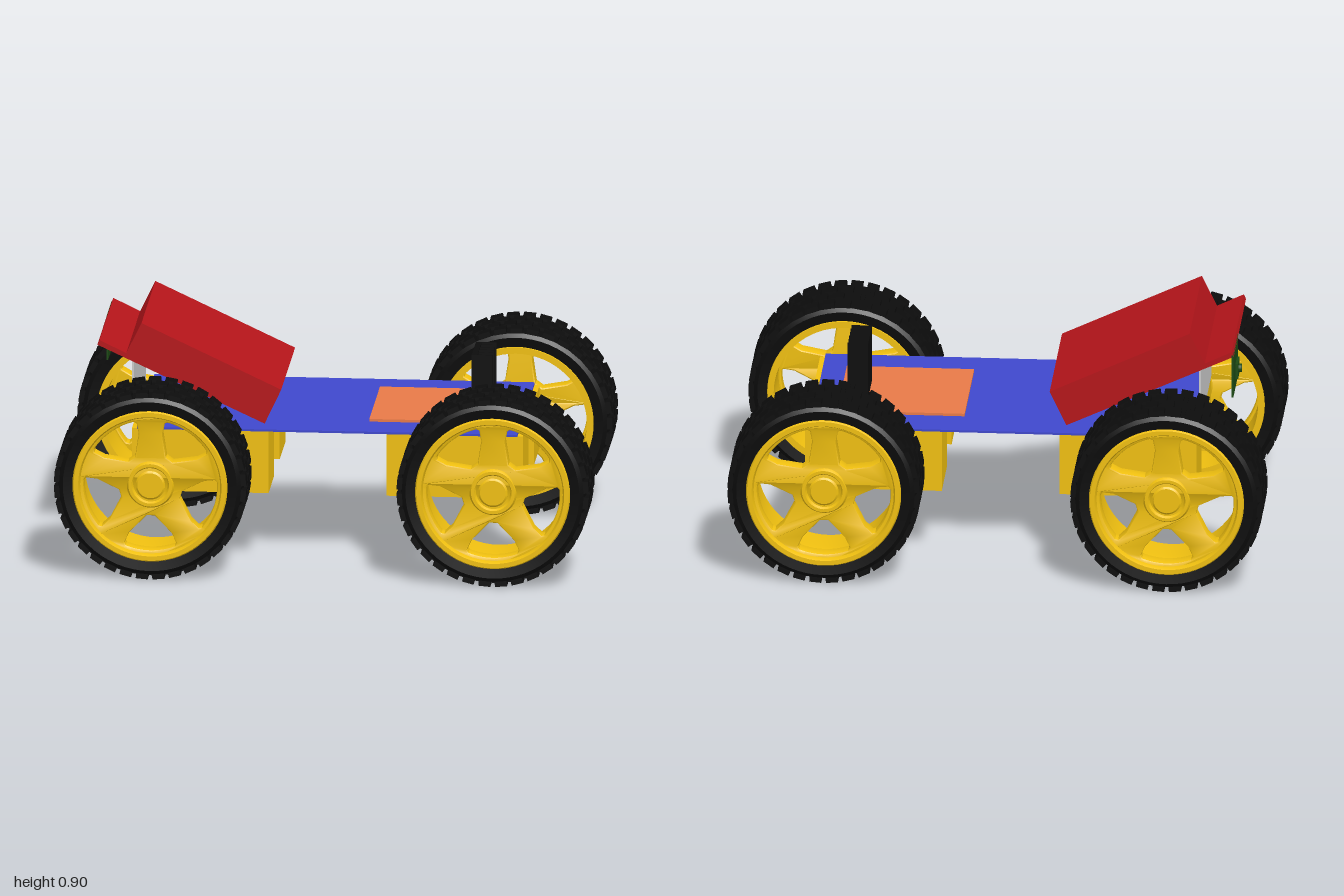
import * as THREE from 'three';
import { mergeGeometries, toCreasedNormals } from 'three/addons/utils/BufferGeometryUtils.js';

const mat = (color) => new THREE.MeshStandardMaterial({ color });
const gold = mat(0xf0c010), black = mat(0x0c0c0c), red = mat(0xb5151a), blue = mat(0x3f48cc);
const orange = mat(0xe87a48), green = mat(0x1c4a14), grey = mat(0xcccccc);

function add(parent, name, geometry, material, x = 0, y = 0, z = 0) {
  const mesh = new THREE.Mesh(geometry, material);
  mesh.name = name;
  mesh.position.set(x, y, z);
  parent.add(mesh);
  return mesh;
}

// Box given by its minimum and maximum on each axis
function block(parent, name, material, [x0, x1], [y0, y1], [z0, z1]) {
  return add(parent, name, new THREE.BoxGeometry(x1 - x0, y1 - y0, z1 - z0), material,
    (x0 + x1) / 2, (y0 + y1) / 2, (z0 + z1) / 2);
}

// Solid of revolution around z, from [radius, z] points
function turned(points, segments = 64) {
  const g = new THREE.LatheGeometry(points.map(([r, z]) => new THREE.Vector2(r, z)), segments);
  return toCreasedNormals(g.rotateX(Math.PI / 2), 0.6);
}

// Staggered tread blocks around the tyre
function treadGeometry() {
  const lugs = [], count = 36;
  const rows = [[-0.097, 0.05, 0], [-0.034, 0.058, 0.5], [0.034, 0.058, 0], [0.097, 0.05, 0.5]];
  for (let i = 0; i < count; i++) {
    for (const [z, width, shift] of rows) {
      const lug = new THREE.BoxGeometry(0.02, 0.045, width).translate(0.349, 0, z);
      lugs.push(lug.rotateZ(((i + shift) / count) * Math.PI * 2));
    }
  }
  return mergeGeometries(lugs);
}

// Five-spoke disc: a round plate with five flared windows, dished toward the hub
function spokeGeometry() {
  const disc = new THREE.Shape().absarc(0, 0, 0.275, 0, Math.PI * 2);
  const deg = Math.PI / 180;
  for (let i = 0; i < 5; i++) {
    const mid = (-90 + 72 * i) * deg;
    const hole = new THREE.Path();
    const at = (r, a) => [r * Math.cos(mid + a * deg), r * Math.sin(mid + a * deg)];
    hole.moveTo(...at(0.115, -9));
    hole.lineTo(...at(0.2, -25));
    hole.lineTo(...at(0.245, -25));
    hole.absarc(0, 0, 0.255, mid - 22 * deg, mid + 22 * deg, false);
    hole.lineTo(...at(0.245, 25));
    hole.lineTo(...at(0.2, 25));
    hole.lineTo(...at(0.115, 9));
    hole.closePath();
    disc.holes.push(hole);
  }
  const g = new THREE.ExtrudeGeometry(disc, {
    depth: 0.045, bevelEnabled: true, bevelSize: 0.006, bevelThickness: 0.008, bevelSegments: 2, curveSegments: 32,
  });
  const p = g.attributes.position;
  for (let i = 0; i < p.count; i++) {
    const r = Math.hypot(p.getX(i), p.getY(i));
    p.setZ(i, p.getZ(i) + 0.04 + 0.07 * r);
  }
  return toCreasedNormals(g, 0.5);
}

const tyreGeo = turned([[0.288, -0.125], [0.325, -0.131], [0.34, -0.12], [0.347, -0.08], [0.347, 0.08],
  [0.34, 0.12], [0.325, 0.131], [0.288, 0.125], [0.288, -0.125]]);
const treadGeo = treadGeometry();
const rimGeo = turned([[0.264, -0.131], [0.288, -0.131], [0.29, -0.12], [0.29, 0.125], [0.285, 0.133],
  [0.268, 0.133], [0.262, 0.12], [0.258, 0.0], [0.264, -0.131]]);
const spokeGeo = spokeGeometry();
const hubGeo = turned([[0, -0.12], [0.05, -0.12], [0.06, 0], [0.09, 0.06], [0.09, 0.1], [0.082, 0.112],
  [0.07, 0.112], [0.062, 0.1], [0.055, 0.1], [0.055, 0.11], [0.048, 0.116], [0, 0.116]], 40);

function wheel() {
  const g = new THREE.Group();
  add(g, 'tyre', tyreGeo, black);
  add(g, 'tyreTread', treadGeo, black);
  add(g, 'rim', rimGeo, gold);
  add(g, 'spokes', spokeGeo, gold);
  add(g, 'hub', hubGeo, gold);
  return g;
}

export function createModel() {
  const model = new THREE.Group();
  model.name = 'robotCar';
  const mid = 0.008; // the deck and its load sit slightly forward of the wheels

  // Four wheels, each with a motor box and an axle
  for (const sx of [-1, 1]) {
    for (const sz of [-1, 1]) {
      const w = wheel();
      w.name = (sz > 0 ? 'front' : 'back') + (sx > 0 ? 'Left' : 'Right') + 'Wheel';
      w.position.set(sx * 0.64, 0.363, sz * 0.522);
      if (sz < 0) w.rotation.y = Math.PI;
      model.add(w);
      add(model, 'motor', new THREE.BoxGeometry(0.51, 0.24, 0.25), gold, sx * 0.475, 0.395, mid + sz * 0.245);
      add(model, 'axle', new THREE.CylinderGeometry(0.02, 0.02, 0.34, 24).rotateX(Math.PI / 2), gold,
        sx * 0.64, 0.363, mid + sz * 0.265);
    }
  }

  // Deck
  block(model, 'deck', blue, [-0.71, 0.71], [0.515, 0.523], [mid - 0.382, mid + 0.382]);

  // Driver board with finned heat sink
  block(model, 'driverBoard', orange, [0.145, 0.62], [0.523, 0.533], [mid - 0.235, mid + 0.235]);
  const sink = new THREE.Group();
  sink.name = 'heatSink';
  block(sink, 'heatSinkBase', black, [0.515, 0.537], [0.533, 0.75], [-0.09, 0.1]);
  for (let i = 0; i < 6; i++) {
    const z = -0.09 + i * 0.0368;
    block(sink, 'heatSinkFin', black, [0.53, 0.592], [0.533, 0.75], [z, z + 0.006]);
  }
  model.add(sink);

  // Tilted cover with a thin lip at its raised end
  const profile = new THREE.Shape([[-0.865, 0.815], [-0.24, 0.525], [-0.178, 0.657], [-0.7, 0.902],
    [-0.757, 0.785], [-0.857, 0.833]].map(([x, y]) => new THREE.Vector2(x, y)));
  add(model, 'tiltedCover', new THREE.ExtrudeGeometry(profile, { depth: 0.61, bevelEnabled: false }), red,
    0, 0, mid - 0.305);

  // Upright panel carrying the cover, and the small circuit board under the lip
  block(model, 'uprightPanel', grey, [-0.739, -0.732], [0.523, 0.76], [mid - 0.26, mid + 0.26]);
  block(model, 'circuitBoard', green, [-0.864, -0.857], [0.655, 0.82], [-0.3, -0.07]);
  block(model, 'circuitChip', green, [-0.874, -0.864], [0.69, 0.75], [-0.2, -0.12]);
  add(model, 'circuitKnob', new THREE.CylinderGeometry(0.016, 0.016, 0.014, 16).rotateZ(Math.PI / 2), green,
    -0.878, 0.72, -0.16);
  return model;
}
